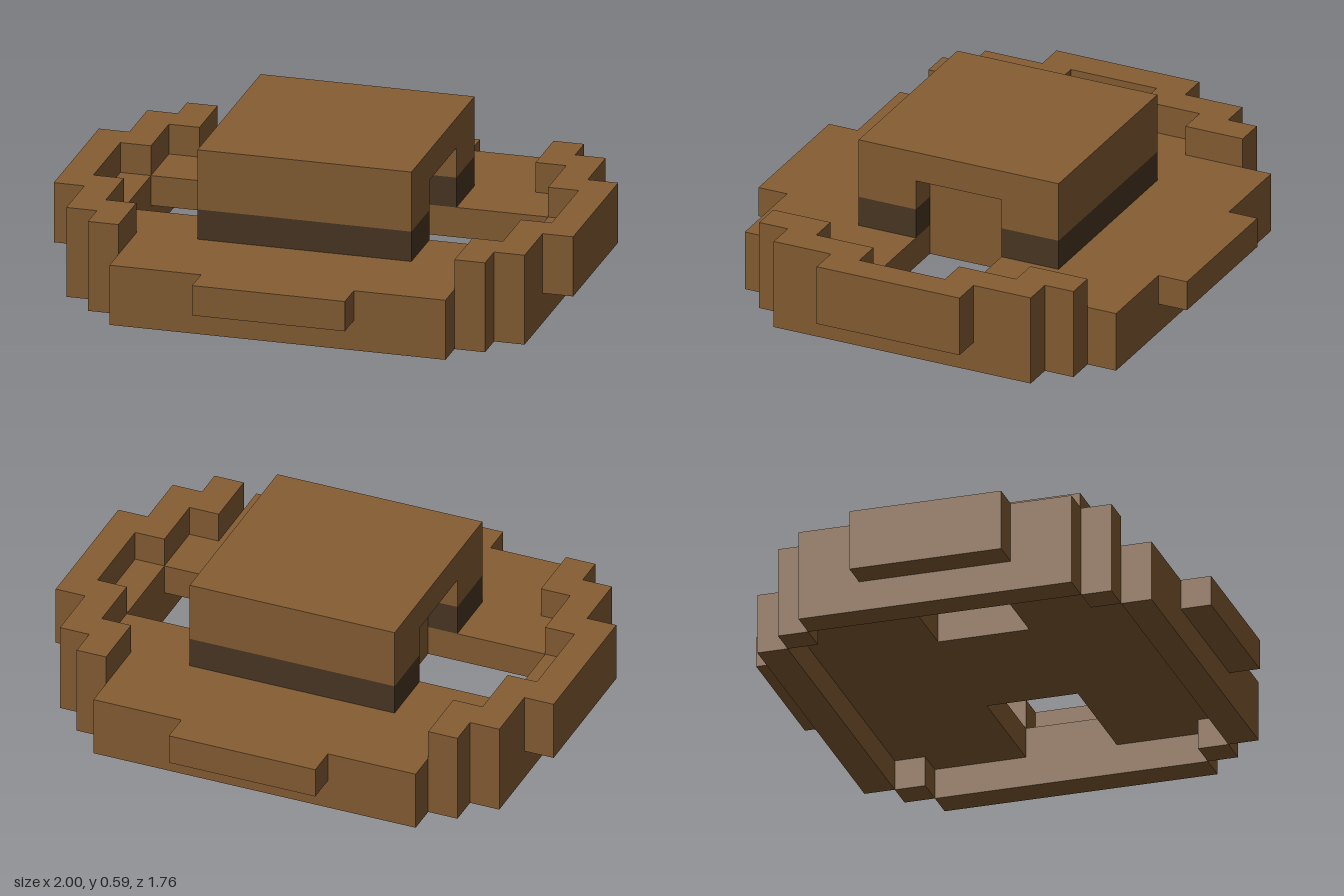
import * as THREE from 'three';

const U = 2 / 17; // one block

export function createModel() {
  const model = new THREE.Group();
  model.name = 'blockHat';
  const felt = new THREE.MeshStandardMaterial({ color: 0x855d33 });
  felt.name = 'brownFelt';
  const dark = new THREE.MeshStandardMaterial({ color: 0x493623 });
  dark.name = 'darkBand';

  const add = (name, geometry, material = felt) => {
    const mesh = new THREE.Mesh(geometry, material);
    mesh.name = name;
    model.add(mesh);
    return mesh;
  };
  // Box given by its limits, in blocks
  const box = (name, x0, x1, y0, y1, z0, z1, material) => {
    const g = new THREE.BoxGeometry((x1 - x0) * U, (y1 - y0) * U, (z1 - z0) * U);
    add(name, g, material).position.set((x0 + x1) * U / 2, (y0 + y1) * U / 2, (z0 + z1) * U / 2);
  };
  const toPoints = (list) => list.map(([x, z]) => new THREE.Vector2(x * U, z * U));
  // Flat slab cut from an outline, in blocks
  const slab = (name, outline, holes, y0, y1) => {
    const shape = new THREE.Shape(toPoints(outline));
    for (const h of holes) shape.holes.push(new THREE.Path(toPoints(h)));
    const g = new THREE.ExtrudeGeometry(shape, { depth: (y1 - y0) * U, bevelEnabled: false });
    g.rotateX(-Math.PI / 2);
    add(name, g).position.y = y0 * U;
  };
  const flipX = (list) => list.map(([x, z]) => [-x, z]).reverse();
  const flipZ = (list) => list.map(([x, z]) => [x, -z]).reverse();

  // Brim plate with stepped outline and an opening on each side of the crown
  const quarter = [[8.5, 2.5], [7.5, 2.5], [7.5, 4.5], [6.5, 4.5], [6.5, 5.5],
    [5.5, 5.5], [5.5, 6.5], [2.5, 6.5], [2.5, 7.5]];
  const half = [...flipZ(quarter), ...quarter];
  const opening = [[2.5, -1.5], [6.5, -1.5], [6.5, 1.5], [2.5, 1.5]];
  slab('brim', [...half, ...flipX(half)], [opening, flipX(opening)], 1, 2);

  // Turned-up brim sides, notched on the inside
  const curlHalf = [[8.5, 2.5], [7.5, 2.5], [7.5, 4.5], [6.5, 4.5], [6.5, 5.5],
    [5.5, 5.5], [5.5, 3.5], [6.5, 3.5], [6.5, 1.5], [7.5, 1.5]];
  const curl = [...curlHalf, ...flipZ(curlHalf)];
  slab('leftBrimCurl', curl, [], 2, 3);
  slab('rightBrimCurl', flipX(curl), [], 2, 3);

  // Lower rim, one block wide, meeting corner to corner
  for (const s of [-1, 1]) {
    const span = (a, b) => (s > 0 ? [a, b] : [-b, -a]);
    box('sideRim', ...span(6.5, 7.5), 0, 1, -4.5, 4.5);
    box('endRim', -5.5, 5.5, 0, 1, ...span(5.5, 6.5));
    for (const x of [-6.5, 5.5]) box('cornerRim', x, x + 1, 0, 1, ...span(4.5, 5.5));
    // Hat band and crown walls on either side of the side notches
    box('hatBand', -3.5, 3.5, 2, 3, ...span(1.5, 3.5), dark);
    box('crownWall', -3.5, 3.5, 3, 4, ...span(1.5, 3.5));
  }

  // Crown core behind the notches, and the crown top
  box('crownCore', -2.5, 2.5, 2, 4, -1.5, 1.5);
  box('crownTop', -3.5, 3.5, 4, 5, -3.5, 3.5);

  return model;
}
